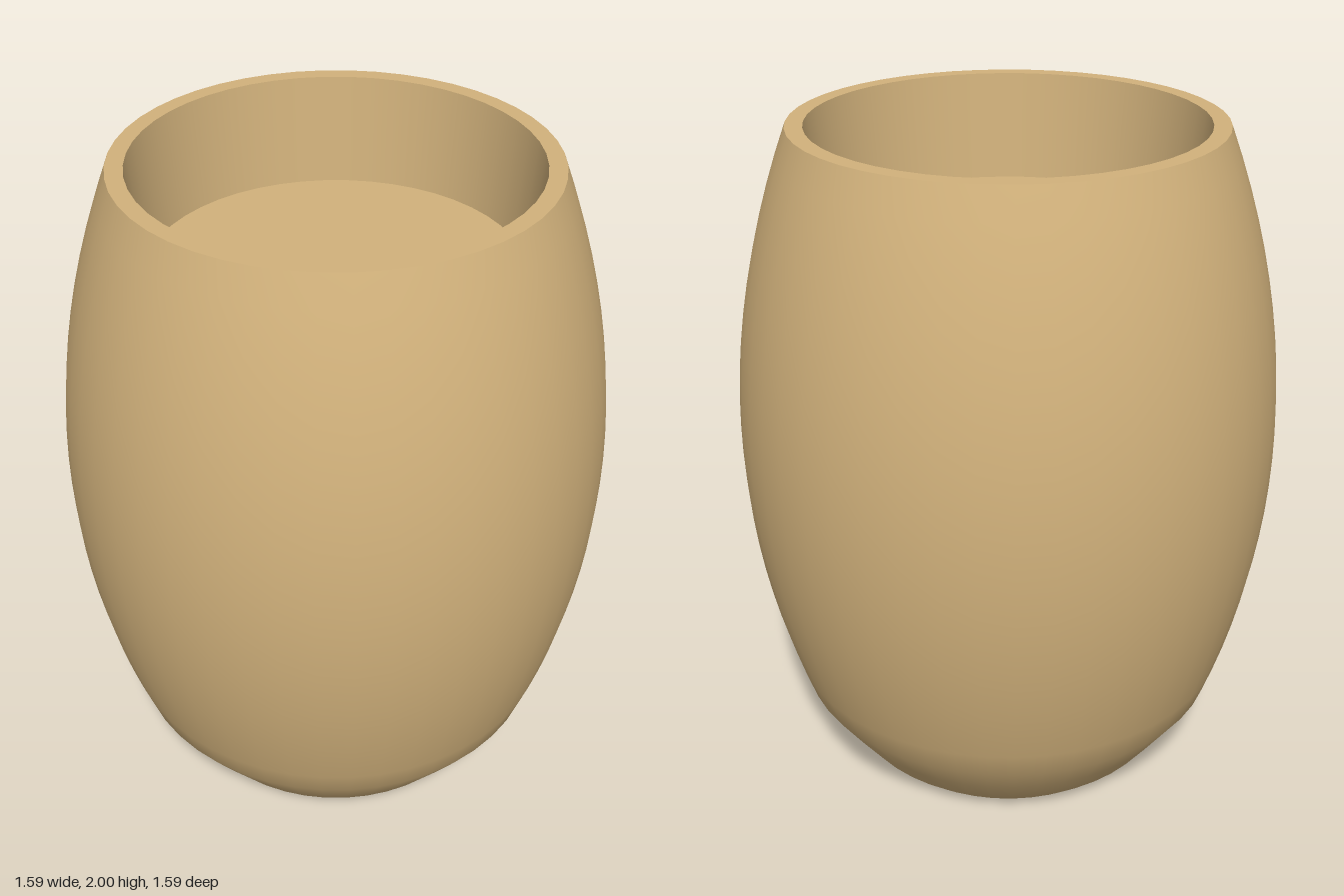
import * as THREE from 'three';

export function createModel() {
  const group = new THREE.Group();
  const clay = new THREE.MeshStandardMaterial({ color: 0xd2b27c });
  clay.name = 'tan';

  // Each part is a separate lathe, so edges between parts stay sharp
  const addLathe = (name, points) => {
    const profile = points.map(([r, y]) => new THREE.Vector2(r, y));
    const mesh = new THREE.Mesh(new THREE.LatheGeometry(profile, 48), clay);
    mesh.name = name;
    group.add(mesh);
  };

  // Bulging outer wall: tapered foot, then a parabolic belly
  const wall = [[0.45, 0], [0.505, 0.05], [0.575, 0.145]];
  const rows = 20;
  for (let i = 0; i <= rows; i++) {
    const y = 0.25 + (1.75 * i) / rows;
    wall.push([0.797 - 0.215 * (y - 1.08) ** 2, y]);
  }
  const rimRadius = wall[wall.length - 1][0];

  addLathe('base', [[0, 0], [0.45, 0]]);
  addLathe('outerWall', wall);
  addLathe('rim', [[rimRadius, 2], [0.565, 2]]);
  addLathe('innerWall', [[0.565, 2], [0.535, 1.68]]);
  addLathe('innerFloor', [[0.535, 1.68], [0, 1.68]]);

  return group;
}
